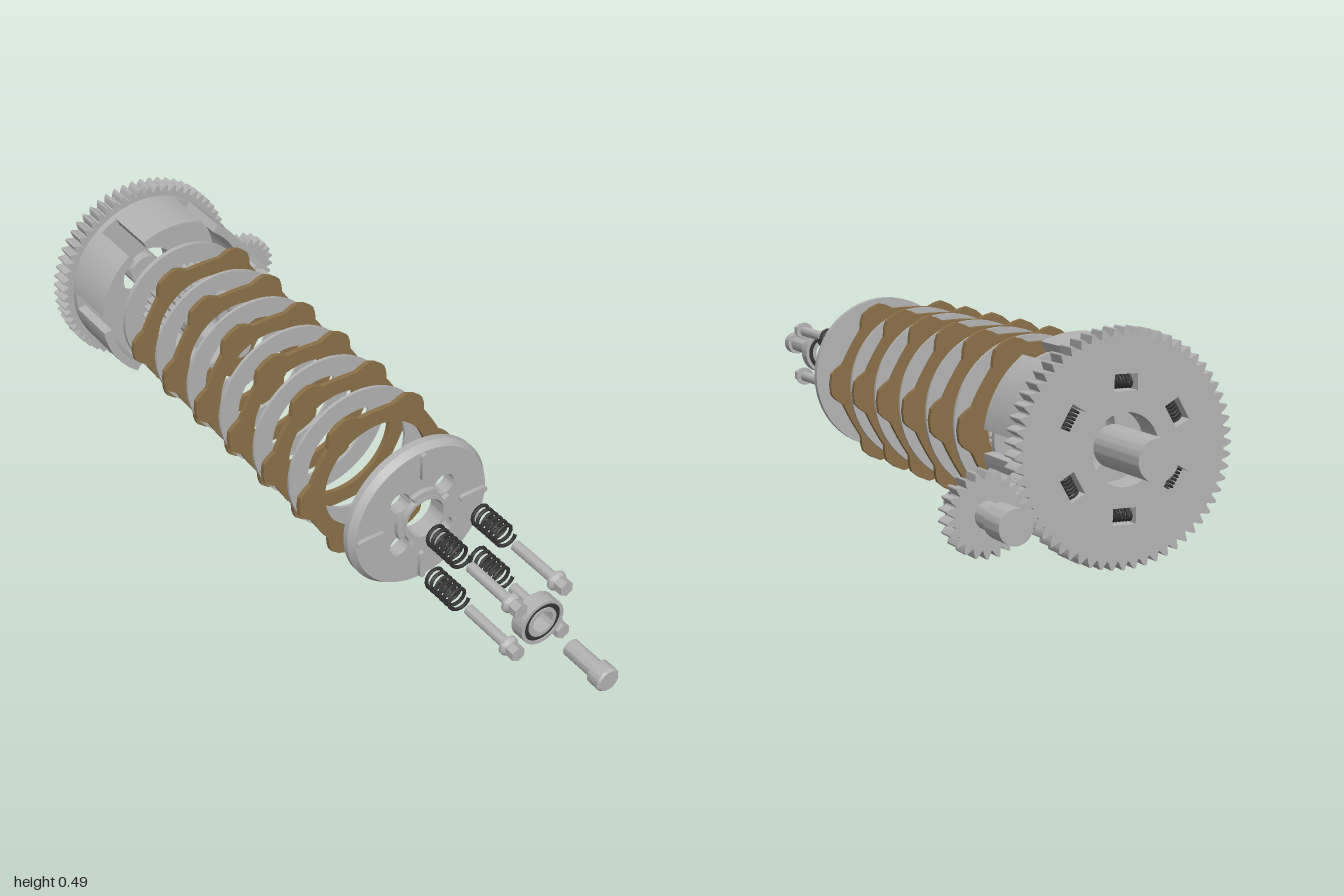
import * as THREE from 'three';
import { toCreasedNormals } from 'three/addons/utils/BufferGeometryUtils.js';

const steel = new THREE.MeshStandardMaterial({ color: 0xb4b4b4 });
steel.name = 'steel grey';
const friction = new THREE.MeshStandardMaterial({ color: 0x8a7048 });
friction.name = 'friction brown';
const dark = new THREE.MeshStandardMaterial({ color: 0x343434 });
dark.name = 'dark spring steel';

const TAU = Math.PI * 2;
const DEG = Math.PI / 180;
const CORNERS = [[1, 1], [-1, 1], [-1, -1], [1, -1]].map(([x, y]) => [x * 0.06, y * 0.06]);

function add(parent, name, geometry, material = steel, x = 0, y = 0, z = 0) {
  const mesh = new THREE.Mesh(geometry, material);
  mesh.name = name;
  mesh.position.set(x, y, z);
  parent.add(mesh);
  return mesh;
}

// Flat shape given thickness from z0 to z1
function plate(shape, z0, z1) {
  const g = new THREE.ExtrudeGeometry(shape, { depth: z1 - z0, bevelEnabled: false, curveSegments: 48 });
  g.translate(0, 0, z0);
  return toCreasedNormals(g, 0.45);
}

// Turned part about z; closed profile of [radius, z], counterclockwise
function turned(profile, segments = 64) {
  const pts = [...profile, profile[0]].map(([r, z]) => new THREE.Vector2(r, z));
  return toCreasedNormals(new THREE.LatheGeometry(pts, segments).rotateX(Math.PI / 2), 0.45);
}

const ring = (r0, r1, z0, z1) => turned([[r0, z0], [r1, z0], [r1, z1], [r0, z1]]);

function rod(r, z0, z1, sides = 32) {
  const g = new THREE.CylinderGeometry(r, r, z1 - z0, sides).rotateX(Math.PI / 2);
  g.translate(0, 0, (z0 + z1) / 2);
  return toCreasedNormals(g, 0.45);
}

function hole(shape, r, x = 0, y = 0) {
  shape.holes.push(new THREE.Path().absarc(x, y, r, 0, TAU, true));
  return shape;
}

const disc = (r) => new THREE.Shape().absarc(0, 0, r, 0, TAU, false);

function sector(r0, r1, mid, half) {
  const s = new THREE.Shape();
  s.absarc(0, 0, r1, mid - half, mid + half, false);
  s.absarc(0, 0, r0, mid + half, mid - half, true);
  s.closePath();
  return s;
}

// Toothed outline with n rounded teeth
function toothed(n, root, tip) {
  const steps = [[0, 0], [0.16, 0], [0.3, 0.45], [0.43, 0.93], [0.5, 1], [0.58, 1], [0.65, 0.93], [0.86, 0.45]];
  const pts = [];
  for (let i = 0; i < n; i++) for (const [f, h] of steps) {
    const a = (i + f - 0.54) / n * TAU + Math.PI / 2;
    const r = root + (tip - root) * h;
    pts.push(new THREE.Vector2(Math.cos(a) * r, Math.sin(a) * r));
  }
  return new THREE.Shape(pts);
}

// Coil spring centred at the origin along z
function coil(r, length, wire, turns) {
  const pts = [];
  for (let i = 0; i <= turns * 12; i++) {
    const a = i / 12 * TAU;
    pts.push(new THREE.Vector3(Math.cos(a) * r, Math.sin(a) * r, (i / (turns * 12) - 0.5) * length));
  }
  return new THREE.TubeGeometry(new THREE.CatmullRomCurve3(pts), turns * 14, wire, 7);
}

// Friction plate outline: ring with six flared tabs
function tabbed() {
  const s = new THREE.Shape();
  for (let i = 0; i < 6; i++) {
    const c = i * 60;
    for (const [a, r] of [[-15.5, 0.183], [-11, 0.197], [-7, 0.207], [0, 0.209], [7, 0.207], [11, 0.197], [15.5, 0.183], [23, 0.18], [30, 0.179], [37, 0.18]]) {
      const t = (c + a) * DEG;
      const p = [Math.cos(t) * r, Math.sin(t) * r];
      if (i === 0 && a === -15.5) s.moveTo(...p); else s.lineTo(...p);
    }
  }
  s.closePath();
  return hole(s, 0.14);
}

function fasteners(clutch) {
  // Central screw and bearing
  add(clutch, 'centreScrewShank', rod(0.02, 0.88, 0.97));
  add(clutch, 'centreScrewHead', turned([[0, 0.965], [0.028, 0.965], [0.028, 0.995], [0.024, 1], [0, 1]], 40));
  add(clutch, 'bearingOuterRace', ring(0.047, 0.055, 0.755, 0.79));
  add(clutch, 'bearingInnerRace', ring(0.027, 0.036, 0.755, 0.79));
  add(clutch, 'bearingSeal', ring(0.036, 0.047, 0.758, 0.787), dark);
  // Four flanged bolts with springs
  for (const [x, y] of CORNERS) {
    add(clutch, 'boltShank', rod(0.0125, 0.62, 0.755), steel, x, y);
    add(clutch, 'boltFlange', turned([[0, 0.752], [0.023, 0.752], [0.023, 0.758], [0.017, 0.766], [0, 0.766]], 32), steel, x, y);
    add(clutch, 'boltHead', rod(0.018, 0.764, 0.789, 6), steel, x, y);
    add(clutch, 'clutchSpring', coil(0.024, 0.096, 0.0042, 6), dark, x, y, 0.541);
  }
}

function pressurePlate(clutch) {
  const drilled = (r) => CORNERS.reduce((s, [x, y]) => hole(s, 0.026, x, y), hole(disc(r), 0.05));
  add(clutch, 'pressurePlateBase', plate(drilled(0.187), 0.335, 0.35));
  add(clutch, 'pressurePlateFace', plate(drilled(0.174), 0.35, 0.368));
  add(clutch, 'pressurePlateChamfer', turned([[0.172, 0.349], [0.187, 0.349], [0.176, 0.368], [0.172, 0.368]]));
  add(clutch, 'pressurePlateCollar', ring(0.05, 0.058, 0.36, 0.382));
  for (let i = 0; i < 4; i++) {
    const a = i * Math.PI / 2;
    add(clutch, 'pressurePlateBoss', plate(sector(0.057, 0.074, a, 27 * DEG), 0.36, 0.38));
    // Raised radial rib with rounded ends
    const s = new THREE.Shape();
    s.absarc(0.167, 0, 0.008, -Math.PI / 2, Math.PI / 2, false);
    s.absarc(0.11, 0, 0.008, Math.PI / 2, Math.PI * 1.5, false);
    s.closePath();
    add(clutch, 'pressurePlateRib', plate(s, 0.36, 0.378)).rotation.z = a;
  }
}

function plateStack(clutch) {
  const lining = plate(tabbed(), -0.006, 0.006);
  const spacer = ring(0.135, 0.185, -0.004, 0.004);
  for (let i = 0; i < 6; i++) {
    add(clutch, 'frictionPlate', lining, friction, 0, 0, 0.19 - 0.1448 * i);
    if (i < 5) add(clutch, 'steelPlate', spacer, steel, 0, 0, 0.116 - 0.1448 * i);
  }
}

function innerHub(clutch) {
  add(clutch, 'hubSpline', plate(hole(toothed(36, 0.114, 0.126), 0.105), -0.63, -0.507));
  add(clutch, 'hubWeb', plate(hole(disc(0.112), 0.04), -0.6, -0.58));
  add(clutch, 'hubSleeve', ring(0.036, 0.052, -0.63, -0.53));
  add(clutch, 'hubFlange', ring(0.105, 0.175, -0.64, -0.628));
  for (const [x, y] of CORNERS) add(clutch, 'hubPost', ring(0.012, 0.026, -0.6, -0.464), steel, x, y);
}

function basket(clutch) {
  add(clutch, 'basketFloor', ring(0.075, 0.2, -0.826, -0.808));
  add(clutch, 'basketRim', ring(0.196, 0.213, -0.826, -0.805));
  // Ring gear with damper windows
  const gear = hole(toothed(60, 0.226, 0.243), 0.075);
  for (let i = 0; i < 6; i++) {
    const a = (30 + 60 * i) * DEG;
    add(clutch, 'basketFinger', plate(sector(0.192, 0.214, a, 23.5 * DEG), -0.812, -0.67));
    const corners = [[0.117, -0.026], [0.117, 0.026], [0.151, 0.026], [0.151, -0.026]];
    gear.holes.push(new THREE.Path(corners.map(([x, y]) =>
      new THREE.Vector2(x * Math.cos(a) - y * Math.sin(a), x * Math.sin(a) + y * Math.cos(a)))));
    const spring = coil(0.0125, 0.046, 0.003, 6).rotateX(Math.PI / 2);
    add(clutch, 'damperSpring', spring, dark, 0.134 * Math.cos(a), 0.134 * Math.sin(a), -0.847).rotation.z = a;
  }
  add(clutch, 'ringGear', plate(gear, -0.87, -0.823));
  add(clutch, 'mainShaft', rod(0.044, -1, -0.82, 48));
}

function pinion(group) {
  add(group, 'pinionGear', plate(toothed(22, 0.071, 0.087), -0.868, -0.826));
  add(group, 'pinionNut', rod(0.041, -0.83, -0.768, 6));
  add(group, 'pinionSpline', plate(toothed(18, 0.027, 0.032), -0.77, -0.732));
  add(group, 'pinionTip', rod(0.026, -0.735, -0.718));
  add(group, 'pinionNeck', rod(0.028, -0.925, -0.865));
  add(group, 'pinionJournal', rod(0.036, -0.99, -0.922, 40));
}

export function createModel() {
  const model = new THREE.Group();
  model.name = 'explodedClutch';
  const clutch = new THREE.Group();
  clutch.name = 'clutchAssembly';
  clutch.position.set(-0.0725, 0.244, 0);
  fasteners(clutch);
  pressurePlate(clutch);
  plateStack(clutch);
  innerHub(clutch);
  basket(clutch);
  const drive = new THREE.Group();
  drive.name = 'pinionShaft';
  drive.position.set(0.2255, 0.137, 0);
  pinion(drive);
  model.add(clutch, drive);
  return model;
}
